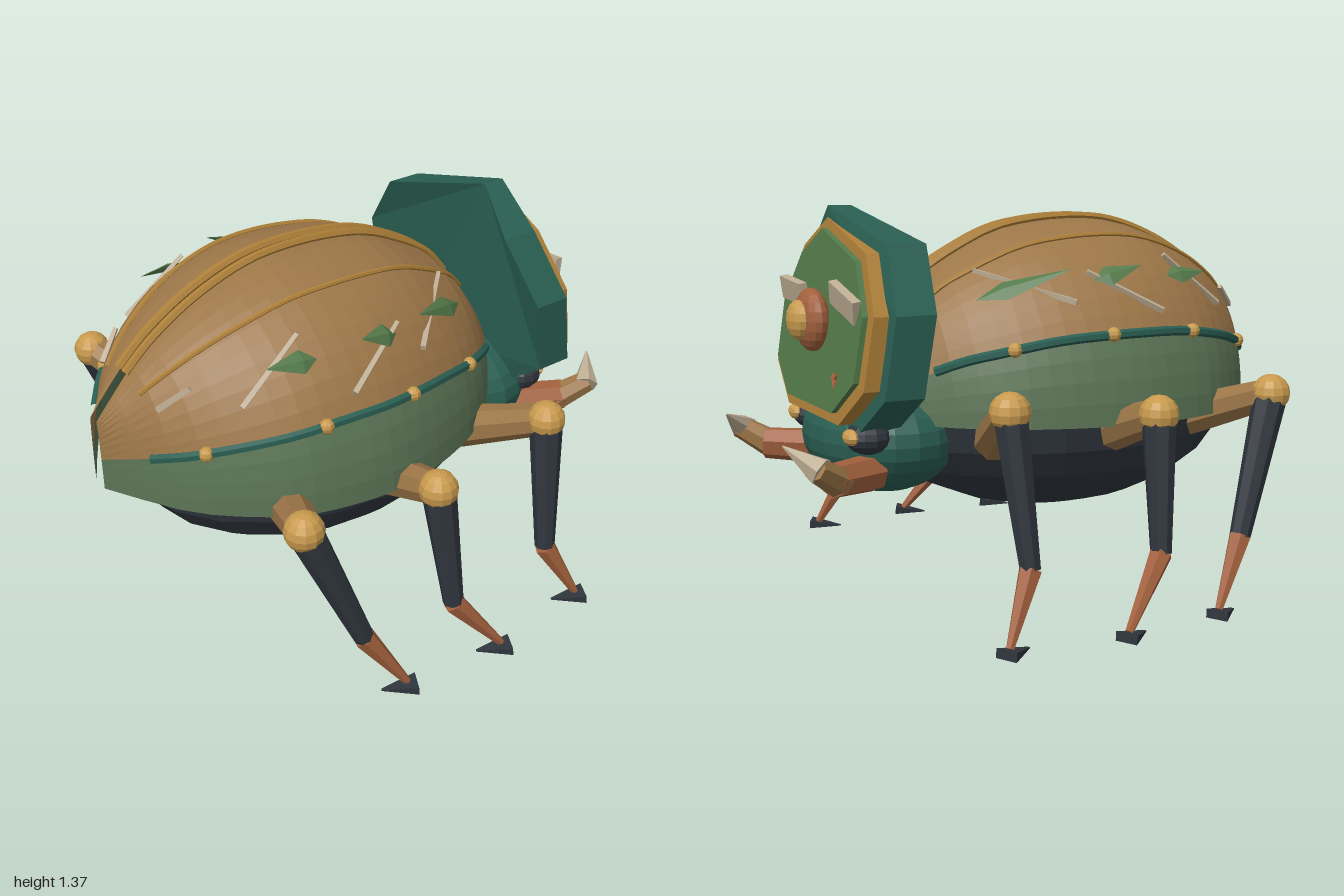
import * as THREE from 'three';

const mat = (name, color, extra = {}) => {
  const m = new THREE.MeshStandardMaterial({ color, flatShading: true, ...extra });
  m.name = name;
  return m;
};
const both = { side: THREE.DoubleSide };
const bronze = mat('bronze shell', 0x9c7648, both);
const moss = mat('moss green', 0x5b7455, both);
const leafGreen = mat('leaf green', 0x547a4b);
const teal = mat('deep teal', 0x2a5e52);
const trim = mat('dark gold trim', 0xae8038);
const gold = mat('gold', 0xc89a4e);
const copper = mat('copper', 0xa2603d);
const charcoal = mat('charcoal', 0x2f353d);
const cream = mat('cream', 0xbcac92);

const V = (x, y, z) => new THREE.Vector3(x, y, z);
const rad = THREE.MathUtils.degToRad;

function add(group, name, geometry, material) {
  const m = new THREE.Mesh(geometry, material);
  m.name = name;
  group.add(m);
  return m;
}

function ball(group, name, p, r, material, w = 12, h = 8) {
  const m = add(group, name, new THREE.SphereGeometry(1, w, h), material);
  m.position.copy(p);
  m.scale.set(...(Array.isArray(r) ? r : [r, r, r]));
}

// Tapered cylinder from a to b
function limb(group, name, a, b, r0, r1, sides, material) {
  const d = b.clone().sub(a);
  const m = add(group, name, new THREE.CylinderGeometry(r1, r0, d.length(), sides), material);
  m.position.copy(a).addScaledVector(d, 0.5);
  m.quaternion.setFromUnitVectors(V(0, 1, 0), d.normalize());
}

// Wing case: half width and height at even steps of z
const Z0 = -0.55, ZLEN = 1.55, BASE = 0.64, BAND = rad(26.7);
const widths = [0.22, 0.39, 0.50, 0.565, 0.605, 0.62, 0.60, 0.555, 0.455, 0.30, 0.03];
const heights = [0.27, 0.47, 0.57, 0.64, 0.67, 0.68, 0.67, 0.625, 0.55, 0.435, 0.26];
const profile = new THREE.CatmullRomCurve3(
  widths.map((w, i) => V(w, heights[i], 0)), false, 'catmullrom', 0.5);

// Point on a wing case at z and angle t, lifted by off
function onShell(s, z, t, off = 0) {
  const p = profile.getPoint((z - Z0) / ZLEN);
  const c = Math.cos(t), q = Math.sin(t);
  return V(s * (0.02 + (p.x - 0.02) * c + off * c), BASE + p.y * q + off * q, z);
}

function shellPart(s, t0, t1, rows) {
  const pos = [], index = [], cols = 22;
  for (let i = 0; i <= cols; i++)
    for (let j = 0; j <= rows; j++)
      pos.push(...onShell(s, Z0 + ZLEN * i / cols, t0 + (t1 - t0) * j / rows).toArray());
  for (let i = 0; i < cols; i++)
    for (let j = 0; j < rows; j++) {
      const a = i * (rows + 1) + j, b = a + rows + 1;
      if (s > 0) index.push(a, a + 1, b, b, a + 1, b + 1);
      else index.push(a, b, a + 1, b, b + 1, a + 1);
    }
  const g = new THREE.BufferGeometry();
  g.setAttribute('position', new THREE.Float32BufferAttribute(pos, 3));
  g.setIndex(index);
  g.computeVertexNormals();
  return g;
}

function shellTube(s, z0, z1, t, off, r) {
  const pts = [];
  for (let i = 0; i <= 16; i++) pts.push(onShell(s, z0 + (z1 - z0) * i / 16, t, off));
  return new THREE.TubeGeometry(new THREE.CatmullRomCurve3(pts), 36, r, 6);
}

// Kite-shaped leaf from root a to raised tip b, its breadth following the shell
function leaf(group, s, a, b, t) {
  const y = b.clone().sub(a), length = y.length();
  y.normalize();
  const out = V(s * Math.cos(t), Math.sin(t), 0);
  const z = out.addScaledVector(y, -y.dot(out)).normalize();
  const kite = [[0, 0], [0.042, 0.3], [0, 1]].map(([r, h]) => new THREE.Vector2(r, h * length));
  const m = add(group, 'leafShard', new THREE.LatheGeometry(kite, 4), leafGreen);
  m.quaternion.setFromRotationMatrix(new THREE.Matrix4().makeBasis(y.clone().cross(z), y, z));
  m.scale.z = 0.35;
  m.position.copy(a);
}

function wingCase(s) {
  const g = new THREE.Group();
  g.name = s > 0 ? 'leftWingCase' : 'rightWingCase';
  add(g, 'upperShell', shellPart(s, BAND, Math.PI / 2, 10), bronze);
  add(g, 'lowerBand', shellPart(s, 0, BAND, 4), moss);
  add(g, 'seamRidge', shellTube(s, -0.47, 0.88, rad(89.5), 0.008, 0.016), trim);
  add(g, 'sideRidge', shellTube(s, -0.45, 0.88, rad(67), 0.003, 0.009), trim);
  add(g, 'rail', shellTube(s, -0.45, 0.9, BAND, 0.005, 0.017), teal);
  for (const z of [0.78, 0.44, 0.1, -0.23])
    ball(g, 'railStud', onShell(s, z, BAND, 0.01), 0.026, gold, 8, 6);
  // Each row: start z, start angle, end z, end angle
  for (const [a, t, b, u] of [[0.66, 40, 0.43, 55], [0.32, 33, 0.07, 48], [0, 38, -0.27, 64], [0.86, 52, 0.77, 54]])
    limb(g, 'sliver', onShell(s, a, rad(t), 0.012), onShell(s, b, rad(u), 0.02), 0.013, 0.01, 4, cream);
  // Each row: root z and angle, tip z and angle
  for (const [a, t, b, u] of [[0.40, 46, 0.58, 48], [0.09, 45, 0.26, 46], [-0.30, 50, 0, 47]])
    leaf(g, s, onShell(s, a, rad(t), 0.01), onShell(s, b, rad(u), 0.06), rad(t));
  return g;
}

// Right half of the shield rim, below its off-centre peak
const PEAK = [0.11, 0.375];
const rim = [[0.33, 0.258], [0.485, 0.04], [0.48, -0.23], [0.28, -0.38]];
const outline = [PEAK, ...rim.map(([x, y]) => [-x, y]), ...rim.slice().reverse()];

// Leaning plate around (0, 1); peak pushes its top corner forward
function plate(scale, back, front, peak = 0) {
  const shape = new THREE.Shape(outline.map(([x, y]) => new THREE.Vector2(x * scale, y * scale)));
  const g = new THREE.ExtrudeGeometry(shape, { depth: back - front, bevelEnabled: false });
  const p = g.attributes.position;
  for (let i = 0; i < p.count; i++) {
    const y = p.getY(i) + 1, rear = p.getZ(i) > 0.001;
    let z = p.getZ(i) + front - 0.16 * (1.257 - y);
    if (y > 1.3) z -= rear ? peak : peak / 2;
    p.setZ(i, z);
    p.setY(i, y);
  }
  g.computeVertexNormals();
  return g;
}

function shield() {
  const g = new THREE.Group();
  g.name = 'shield';
  add(g, 'shieldPlate', plate(1, -0.49, -0.63, 0.11), teal);
  add(g, 'shieldTrim', plate(0.89, -0.60, -0.685), trim);
  add(g, 'shieldFace', plate(0.79, -0.64, -0.705), leafGreen);
  ball(g, 'bossRing', V(0, 0.99, -0.775), [0.11, 0.11, 0.055], copper, 16, 10);
  ball(g, 'bossCap', V(0, 0.99, -0.82), [0.07, 0.07, 0.042], gold, 14, 8);
  for (const s of [-1, 1]) {
    const m = add(g, 'shieldChip', new THREE.BoxGeometry(0.2, 0.08, 0.03), cream);
    m.position.set(s * 0.25, 1.07, -0.748);
    m.rotation.set(-0.16, 0, s < 0 ? 0.3 : 0.08);
  }
  for (const y of [0.80, 0.83])
    limb(g, 'shieldSpike', V(-0.2, 0.82, -0.77), V(-0.32, y, -0.82), 0.013, 0.002, 5, copper);
  return g;
}

function jaw(s) {
  const g = new THREE.Group();
  g.name = s > 0 ? 'leftJaw' : 'rightJaw';
  limb(g, 'jawBase', V(s * 0.25, 0.49, -0.66), V(s * 0.35, 0.5, -0.84), 0.066, 0.058, 7, copper);
  limb(g, 'jawMiddle', V(s * 0.34, 0.49, -0.81), V(s * 0.405, 0.56, -0.92), 0.054, 0.042, 7, bronze);
  limb(g, 'jawTip', V(s * 0.41, 0.55, -0.9), V(s * 0.315, 0.625, -0.995), 0.05, 0.003, 6, cream);
  return g;
}

// Joints of the legs: hip, knee, ankle and toe
const legs = {
  front: [[0.38, 0.59, -0.26], [0.71, 0.745, -0.38], [0.79, 0.25, -0.35], [0.86, 0.03, -0.46]],
  middle: [[0.42, 0.58, 0.14], [0.76, 0.7, 0.15], [0.83, 0.25, 0.12], [0.905, 0.03, -0.05]],
  rear: [[0.38, 0.6, 0.51], [0.71, 0.725, 0.655], [0.79, 0.25, 0.475], [0.86, 0.03, 0.34]],
};
function leg(s, name, joints) {
  const g = new THREE.Group();
  g.name = name + (s > 0 ? 'LeftLeg' : 'RightLeg');
  const [hip, knee, ankle, toe] = joints.map(([x, y, z]) => V(s * x, y, z));
  limb(g, 'thigh', hip, knee, 0.08, 0.057, 8, bronze);
  ball(g, 'knee', knee, 0.068, gold);
  limb(g, 'shin', knee, ankle, 0.06, 0.036, 8, charcoal);
  limb(g, 'ankle', ankle, toe, 0.04, 0.014, 6, copper);
  // Flat wedge foot, widest at the toes
  const foot = add(g, 'foot', new THREE.CylinderGeometry(0.055, 0.006, 0.125, 4).rotateY(Math.PI / 4), charcoal);
  const d = V(s * 0.06, 0.012, -0.115).normalize();
  const x = V(-d.z, 0, d.x).normalize();
  foot.quaternion.setFromRotationMatrix(new THREE.Matrix4().makeBasis(x, d, x.clone().cross(d)));
  foot.scale.z = 0.4;
  foot.position.set(toe.x - s * 0.005, 0.016, toe.z + 0.03);
  return g;
}

export function createModel() {
  const model = new THREE.Group();
  model.name = 'beetle';
  ball(model, 'body', V(0, 0.64, 0.16), [0.54, 0.385, 0.71], charcoal, 20, 12);
  ball(model, 'head', V(0, 0.58, -0.53), [0.355, 0.21, 0.265], teal, 20, 14);
  model.add(shield());
  for (const s of [-1, 1]) {
    model.add(wingCase(s), jaw(s));
    ball(model, 'eye', V(s * 0.265, 0.615, -0.68), [0.08, 0.058, 0.08], charcoal);
    ball(model, 'eyeGlint', V(s * 0.275, 0.622, -0.745), [0.048, 0.028, 0.028], gold, 8, 6);
    for (const name in legs) model.add(leg(s, name, legs[name]));
  }
  return model;
}
